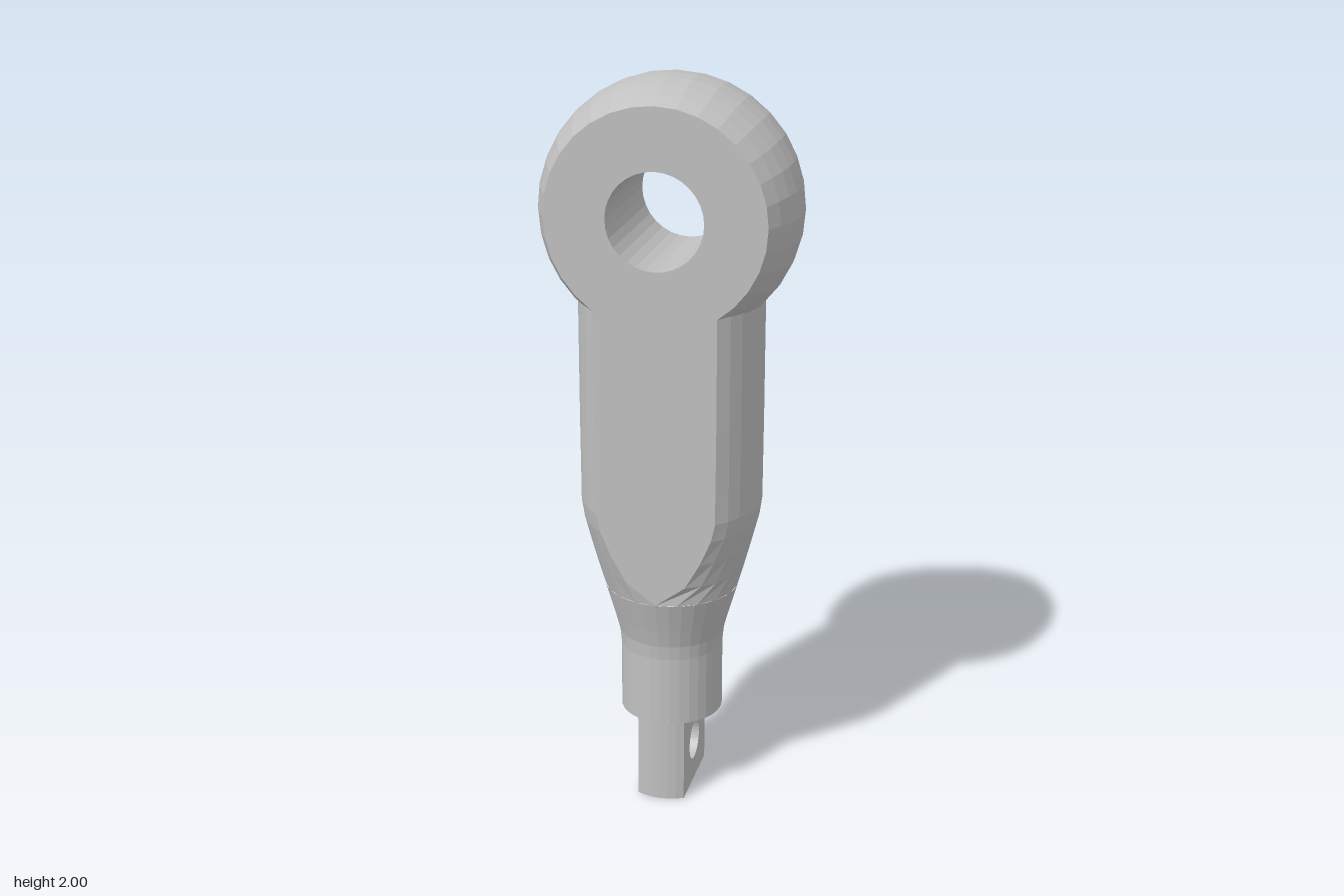
import * as THREE from 'three';

const HALF = 0.183;                  // half thickness between the flat faces
const EYE_Y = 1.657, EYE_R = 0.343, BORE_R = 0.128;
const SHANK_R = 0.14, STEP_Y = 0.235;

// Faceted finish: every face keeps its own normal
function faceted(geometry) {
  const g = geometry.index ? geometry.toNonIndexed() : geometry;
  g.computeVertexNormals();
  return g;
}

// Ball with flat sides and a bore along z
function eyeGeometry() {
  const pts = [];
  const a = Math.asin(HALF / EYE_R), steps = 8;
  for (let i = 0; i <= steps; i++) {
    const t = -a + (2 * a * i) / steps;
    pts.push(new THREE.Vector2(EYE_R * Math.cos(t), EYE_R * Math.sin(t)));
  }
  pts.push(new THREE.Vector2(BORE_R, HALF), new THREE.Vector2(BORE_R, -HALF), pts[0].clone());
  return new THREE.LatheGeometry(pts, 32).rotateX(Math.PI / 2).translate(0, EYE_Y, 0);
}

// Outline of a circle of radius r cut by two flats at z = +-HALF
function flattedRing(r) {
  const a = Math.asin(Math.min(1, HALF / r)), ring = [];
  const arcSteps = 10, flatSteps = 8;
  for (const side of [1, -1]) {
    for (let i = 0; i < arcSteps; i++) {
      const t = -a + (2 * a * i) / arcSteps;
      ring.push([side * r * Math.cos(t), side * r * Math.sin(t)]);
    }
    const w = r * Math.cos(a);
    for (let i = 0; i < flatSteps; i++) {
      ring.push([side * w * (1 - (2 * i) / flatSteps), side * r * Math.sin(a)]);
    }
  }
  return ring;
}

// Tapered, flat-sided body whose top edge follows the ball of the eye
function bodyGeometry() {
  const rows = [[0.61, 0.183], [0.67, 0.2], [0.74, 0.219], [0.81, 0.237], [0.86, 0.244], [1.1, 0.245], [1.3, 0.245], [null, 0.245]];
  const pos = [], index = [];
  let n = 0;
  rows.forEach(([y, r]) => {
    const ring = flattedRing(r);
    n = ring.length;
    for (const [x, z] of ring) {
      const top = EYE_Y - Math.sqrt((EYE_R - 0.008) ** 2 - x * x - z * z);
      pos.push(x, y ?? top, z);
    }
  });
  for (let j = 0; j < rows.length - 1; j++) {
    for (let i = 0; i < n; i++) {
      const a = j * n + i, b = j * n + (i + 1) % n;
      index.push(a, a + n, b, b, a + n, b + n);
    }
  }
  const g = new THREE.BufferGeometry();
  g.setAttribute('position', new THREE.Float32BufferAttribute(pos, 3));
  g.setIndex(index);
  return g;
}

// Round shank flaring up into the body
function shankGeometry() {
  const profile = [[0, STEP_Y], [SHANK_R, STEP_Y], [SHANK_R, 0.43], [0.144, 0.47], [0.157, 0.52], [0.183, 0.61]];
  return new THREE.LatheGeometry(profile.map(([x, y]) => new THREE.Vector2(x, y)), 32);
}

// Flat tang with a cross hole and ends rounded to the shank radius
function tangGeometry() {
  const w = SHANK_R, shape = new THREE.Shape();
  shape.moveTo(-w, 0).lineTo(w, 0).lineTo(w, STEP_Y).lineTo(-w, STEP_Y).closePath();
  shape.holes.push(new THREE.Path().absarc(0, 0.12, 0.056, 0, Math.PI * 2, true));
  const g = new THREE.ExtrudeGeometry(shape, { depth: 0.13, steps: 6, bevelEnabled: false, curveSegments: 20 });
  g.translate(0, 0, -0.065).rotateY(Math.PI / 2);
  const p = g.attributes.position;
  for (let i = 0; i < p.count; i++) {
    const z = p.getZ(i);
    if (Math.abs(z) > w - 0.001) p.setZ(i, Math.sign(z) * Math.sqrt(w * w - p.getX(i) ** 2));
  }
  return g;
}

export function createModel() {
  const steel = new THREE.MeshStandardMaterial({ color: 0xc0c0c0 });
  steel.name = 'steel grey';
  const group = new THREE.Group();
  group.name = 'rodEnd';
  const parts = { eye: eyeGeometry(), body: bodyGeometry(), shank: shankGeometry(), tang: tangGeometry() };
  for (const [name, geometry] of Object.entries(parts)) {
    const mesh = new THREE.Mesh(faceted(geometry), steel);
    mesh.name = name;
    group.add(mesh);
  }
  return group;
}
